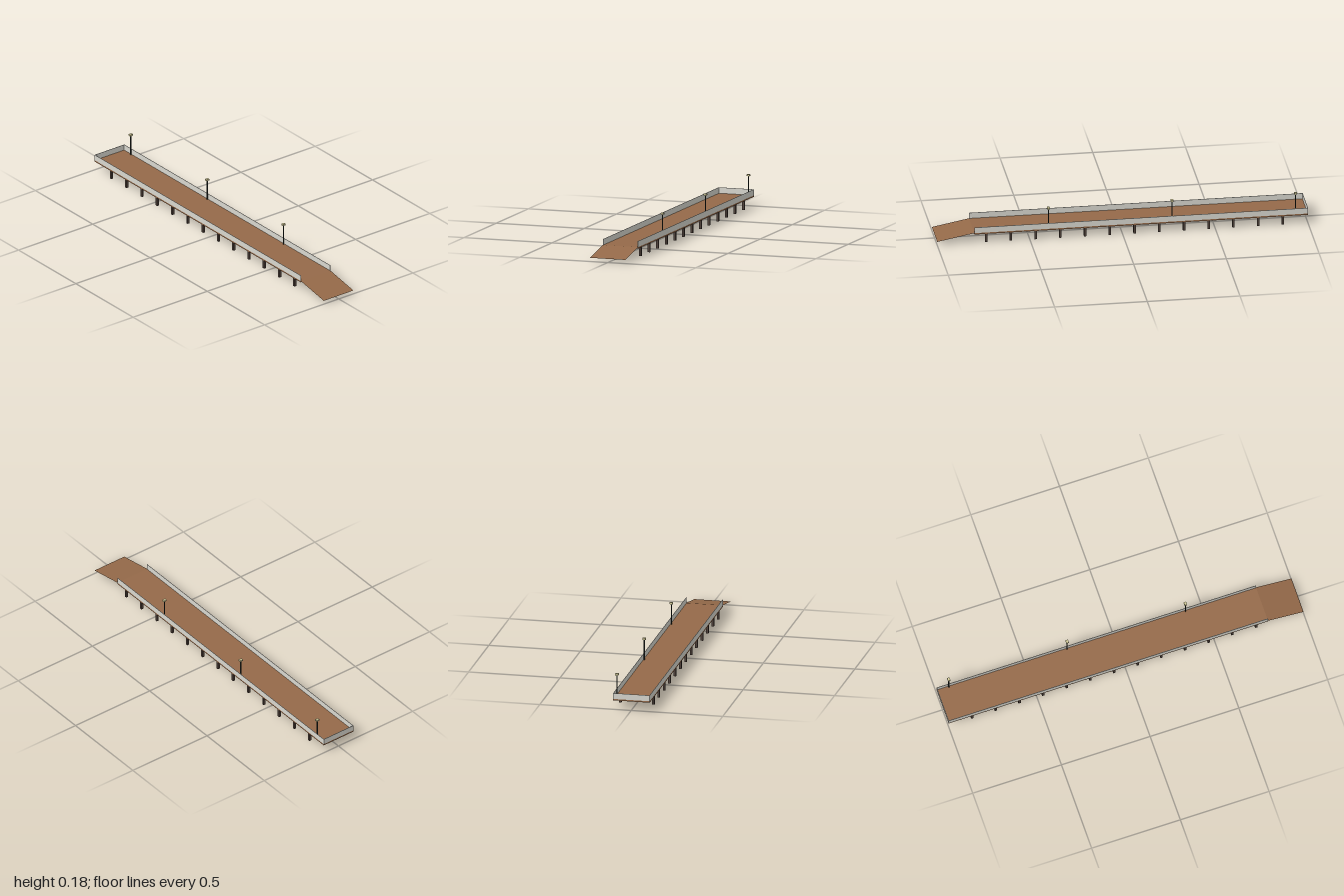
import * as THREE from 'three';

const mat = (name, color, extra = {}) => {
  const m = new THREE.MeshStandardMaterial({ color, ...extra });
  m.name = name;
  return m;
};

export function createModel() {
  const wood = mat('deckWood', 0x956a49);
  const rampWood = wood.clone();
  rampWood.side = THREE.DoubleSide;
  const rail = mat('paleRail', 0xd8d7cf);
  const piling = mat('darkPiling', 0x4e4039);
  const metal = mat('darkMetal', 0x2a312c);
  const lampGlow = mat('lampCream', 0xd8d09c);

  const group = new THREE.Group();
  group.name = 'pier';

  // Box given by its lower and upper corners
  const box = (name, material, [x0, y0, z0], [x1, y1, z1]) => {
    const mesh = new THREE.Mesh(new THREE.BoxGeometry(x1 - x0, y1 - y0, z1 - z0), material);
    mesh.position.set((x0 + x1) / 2, (y0 + y1) / 2, (z0 + z1) / 2);
    mesh.name = name;
    group.add(mesh);
  };

  const L = -0.101, R = 0.099, BACK = -1, FRONT = 0.8;
  const BASE = 0.05, DECK = 0.058, RAIL = 0.09, T = 0.002;

  // Walking deck
  box('deck', wood, [L, BASE, BACK], [R, DECK, FRONT]);

  // Boarding ramp: a thin sheet sloping down from the front edge
  const rampRise = DECK - 0.02, rampRun = 0.2;
  const ramp = new THREE.Mesh(new THREE.PlaneGeometry(R - L, Math.hypot(rampRise, rampRun)), rampWood);
  ramp.rotation.x = -Math.PI / 2 + Math.atan2(rampRise, rampRun);
  ramp.position.set((L + R) / 2, DECK - rampRise / 2, FRONT + rampRun / 2);
  ramp.name = 'ramp';
  group.add(ramp);

  // Side and end railings
  box('rightRail', rail, [L, DECK, BACK], [L + T, RAIL, FRONT]);
  box('leftRail', rail, [R - T, DECK, BACK], [R, RAIL, FRONT]);
  box('backRail', rail, [L + T, DECK, BACK], [R - T, RAIL, BACK + T]);

  // Two rows of pilings under the deck
  const p = 0.0063;
  for (let i = 0; i < 13; i++) {
    const z = 0.735 - (i * 1.6) / 12;
    for (const x of [-0.091, 0.089]) {
      box('piling', piling, [x - p, 0, z - p], [x + p, BASE, z + p]);
    }
  }

  // Lamps along the left rail
  for (let i = 0; i < 3; i++) {
    const z = 0.4 - (i * 2) / 3, x = 0.0915;
    box('lampPost', metal, [x - 0.0025, DECK, z - 0.0025], [x + 0.0025, 0.172, z + 0.0025]);
    box('lampHead', lampGlow, [x - 0.009, 0.172, z - 0.007], [x + 0.009, 0.181, z + 0.007]);
  }

  return group;
}
